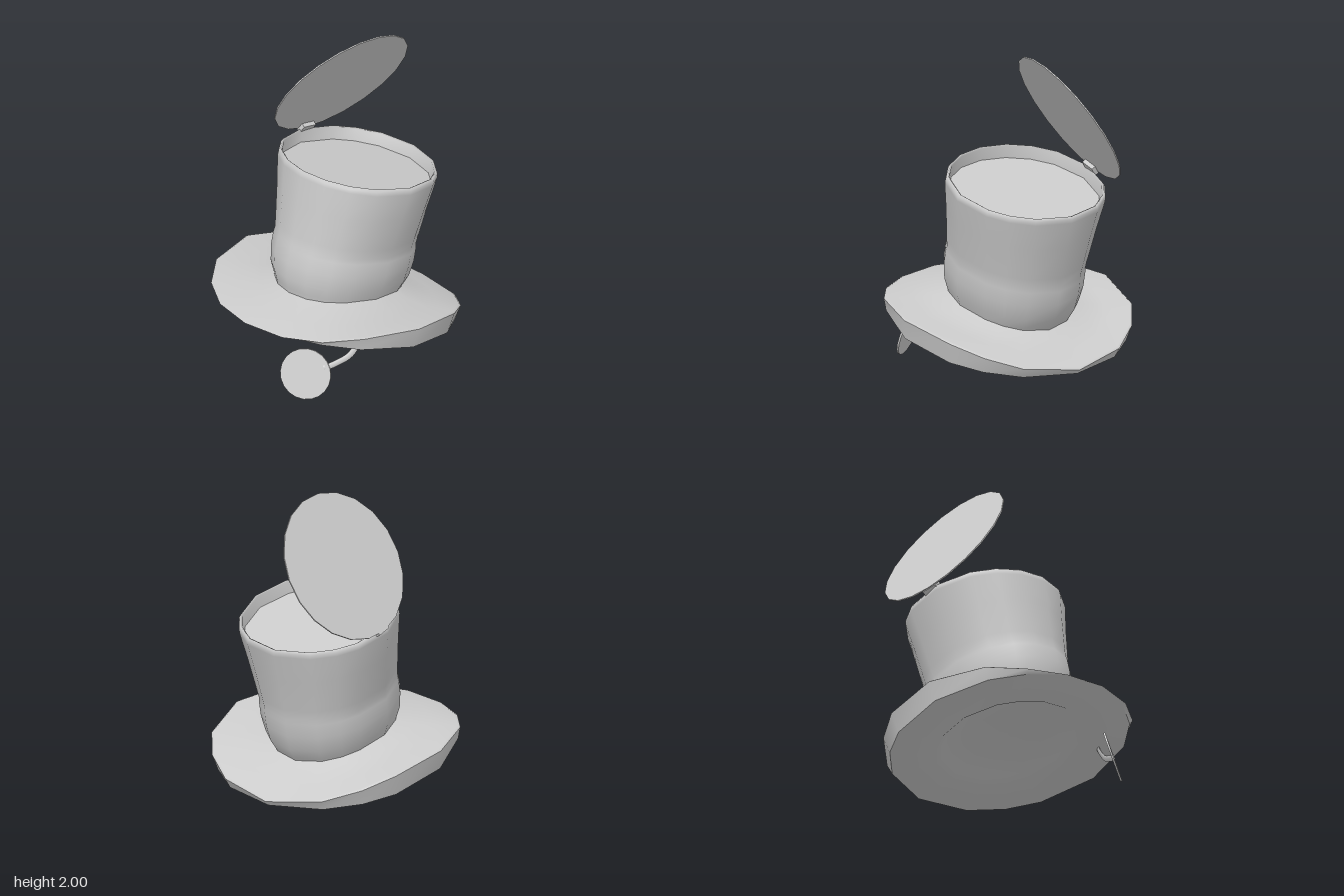
import * as THREE from 'three';

const material = new THREE.MeshStandardMaterial({ color: 0xcccccc, side: THREE.DoubleSide });

// Half outline from front to back: angle in degrees and upward curl of the brim edge
const HALF = [[0, -0.012], [21, -0.005], [40, 0.025], [59, 0.08], [87, 0.128], [116, 0.135], [133, 0.105], [152, 0.065], [180, 0.035]];
const OUTLINE = [...HALF, ...HALF.slice(1, -1).reverse().map(([a, c]) => [360 - a, c])];

function addMesh(parent, name, geometry) {
  const mesh = new THREE.Mesh(geometry, material);
  mesh.name = name;
  parent.add(mesh);
  return mesh;
}

// Skins rings given as [radiusX, radiusZ, height, curlAmount]
function loft(rings) {
  const n = OUTLINE.length;
  const points = [];
  const index = [];
  rings.forEach(([rx, rz, h, k = 0], i) => {
    OUTLINE.forEach(([deg, curl], j) => {
      const a = THREE.MathUtils.degToRad(deg);
      points.push(rx * Math.sin(a), h + k * curl, rz * Math.cos(a));
      if (i === rings.length - 1) return;
      const p = i * n + j;
      const q = i * n + (j + 1) % n;
      index.push(p, q, q + n, p, q + n, p + n);
    });
  });
  const geometry = new THREE.BufferGeometry();
  geometry.setAttribute('position', new THREE.Float32BufferAttribute(points, 3));
  geometry.setIndex(index);
  geometry.computeVertexNormals();
  return geometry;
}

export function createModel() {
  const model = new THREE.Group();
  model.name = 'topHat';

  // Everything but the eyeglass leans back with the hat
  const hat = new THREE.Group();
  hat.name = 'hat';
  hat.position.set(0, 0.3, 0.01);
  hat.rotation.x = -0.214;
  model.add(hat);

  // Brim: shallow hollow below, then a steep outer band up to the curled edge
  addMesh(hat, 'brimUnderside', loft([
    [0.001, 0.001, 0.07], [0.25, 0.25, 0.06], [0.4, 0.41, 0.025], [0.45, 0.46, -0.01],
    [0.6, 0.6, -0.005], [0.73, 0.735, 0],
  ]));
  addMesh(hat, 'brimBand', loft([[0.73, 0.735, 0], [0.755, 0.755, 0, 1]]));
  addMesh(hat, 'brimTop', loft([
    [0.755, 0.755, 0, 1], [0.74, 0.742, 0.01, 1], [0.59, 0.6, 0.062, 0.5],
    [0.45, 0.49, 0.1, 0.25], [0.33, 0.39, 0.14, 0.2],
  ]));

  // Crown with a band bulge, rounded lip and inner wall
  addMesh(hat, 'crown', loft([
    [0.34, 0.4, 0.1], [0.355, 0.425, 0.16], [0.385, 0.455, 0.23], [0.404, 0.465, 0.33],
    [0.406, 0.462, 0.42], [0.403, 0.456, 0.45], [0.415, 0.457, 0.51], [0.454, 0.469, 0.72],
    [0.492, 0.483, 0.9], [0.49, 0.481, 0.925], [0.479, 0.472, 0.942], [0.467, 0.46, 0.935],
    [0.46, 0.452, 0.85],
  ]));
  addMesh(hat, 'crownFloor', loft([[0.462, 0.454, 0.86], [0.001, 0.001, 0.86]]));

  // Open lid swinging on a small hinge at the crown's edge
  const lid = new THREE.Group();
  lid.name = 'lid';
  lid.position.set(-0.496, 0.938, -0.014);
  lid.rotation.z = THREE.MathUtils.degToRad(58.5);
  hat.add(lid);
  addMesh(lid, 'lidDisc', new THREE.CylinderGeometry(0.464, 0.464, 0.008, 20)).position.x = 0.464;
  addMesh(lid, 'hinge', new THREE.BoxGeometry(0.06, 0.03, 0.1)).position.set(0.025, -0.016, 0);

  // Eyeglass below the brim, on a flat curved arm
  const eyeglass = new THREE.Group();
  eyeglass.name = 'eyeglass';
  eyeglass.position.set(0.322, 0.152, 0.552);
  eyeglass.lookAt(0.822, 0.452, 1.362);
  model.add(eyeglass);
  addMesh(eyeglass, 'lens', new THREE.CylinderGeometry(0.157, 0.157, 0.012, 20)).rotation.x = Math.PI / 2;
  const armPath = new THREE.CatmullRomCurve3([
    [-0.01, -0.005], [0.073, 0.038], [0.14, 0.085], [0.183, 0.162], [0.19, 0.21],
  ].map(([x, y]) => new THREE.Vector3(x, y, 0)));
  const arm = addMesh(eyeglass, 'eyeglassArm', new THREE.TubeGeometry(armPath, 12, 0.021, 6));
  arm.position.set(0.12, 0.054, 0);
  arm.rotation.y = 0.38;
  arm.scale.z = 0.3;

  return model;
}
